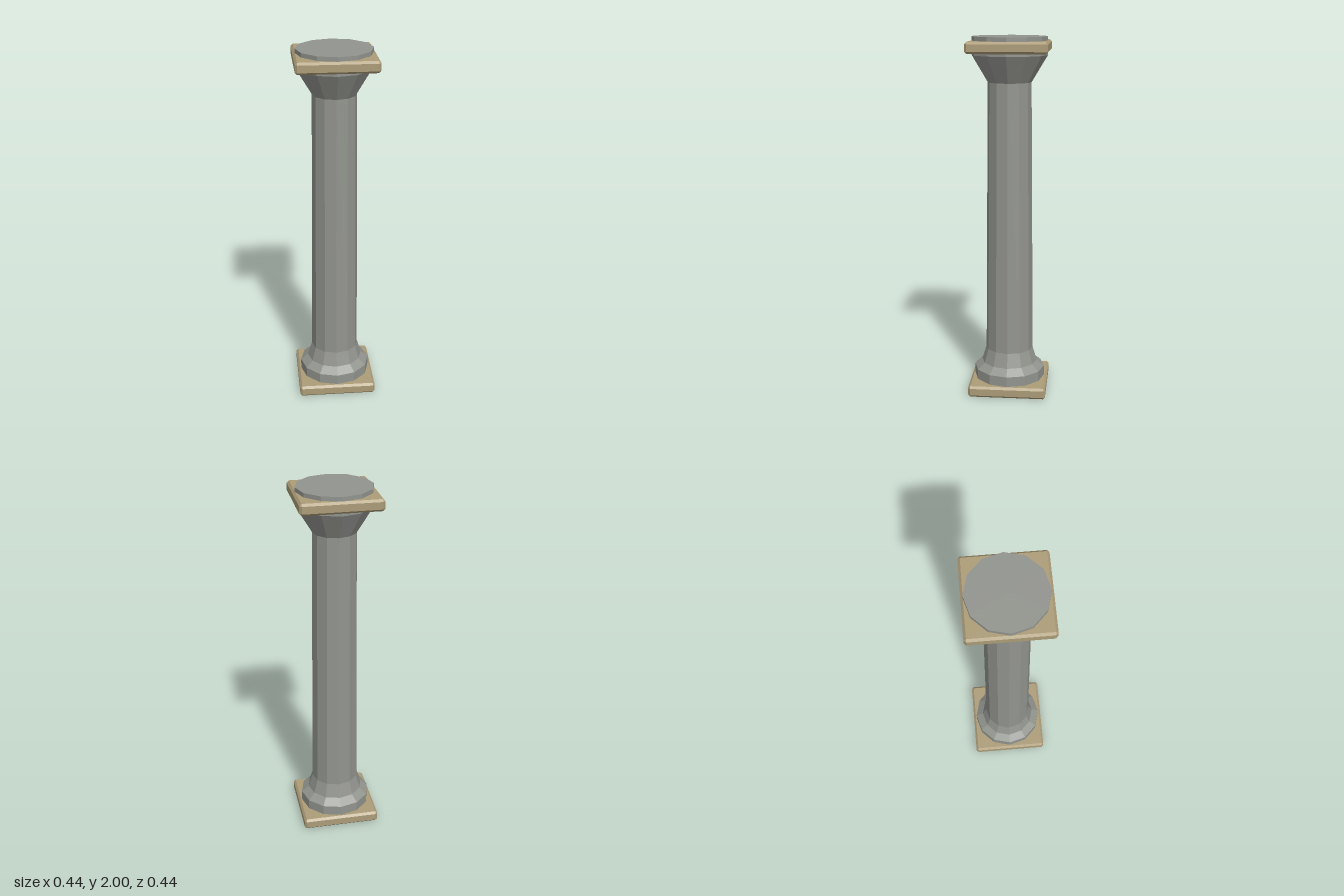
import * as THREE from 'three';
import { ConvexGeometry } from 'three/addons/geometries/ConvexGeometry.js';

const stone = new THREE.MeshStandardMaterial({ name: 'grey stone', color: 0x92948e, flatShading: true });
const slab = new THREE.MeshStandardMaterial({ name: 'tan slab', color: 0xac9c78, flatShading: true });

// square plate with every edge chamfered: hull of three crossed boxes
function chamferedPlate(name, half, height, bevel, y) {
  const a = half, b = half - bevel, h = height / 2, k = h - bevel;
  const points = [];
  for (const sx of [-1, 1]) for (const sy of [-1, 1]) for (const sz of [-1, 1]) {
    points.push(
      new THREE.Vector3(sx * a, sy * k, sz * b),
      new THREE.Vector3(sx * b, sy * h, sz * b),
      new THREE.Vector3(sx * b, sy * k, sz * a));
  }
  const mesh = new THREE.Mesh(new ConvexGeometry(points), slab);
  mesh.name = name;
  mesh.position.y = y + h;
  return mesh;
}

// twelve-sided turned section from [radius, height] pairs
function turned(name, profile) {
  const points = profile.map(([r, y]) => new THREE.Vector2(r, y));
  const mesh = new THREE.Mesh(new THREE.LatheGeometry(points, 12), stone);
  mesh.name = name;
  return mesh;
}

export function createModel() {
  const column = new THREE.Group();
  column.name = 'column';
  column.add(
    chamferedPlate('basePlate', 0.218, 0.063, 0.012, 0),
    turned('base', [[0, 0.03], [0.2, 0.03], [0.2, 0.12], [0.158, 0.155], [0.134, 0.235]]),
    turned('shaft', [[0.134, 0.235], [0.12, 1.755]]),
    turned('capital', [[0.12, 1.755], [0.207, 1.9], [0.207, 2], [0, 2]]),
    chamferedPlate('topPlate', 0.218, 0.063, 0.012, 1.914));
  return column;
}
